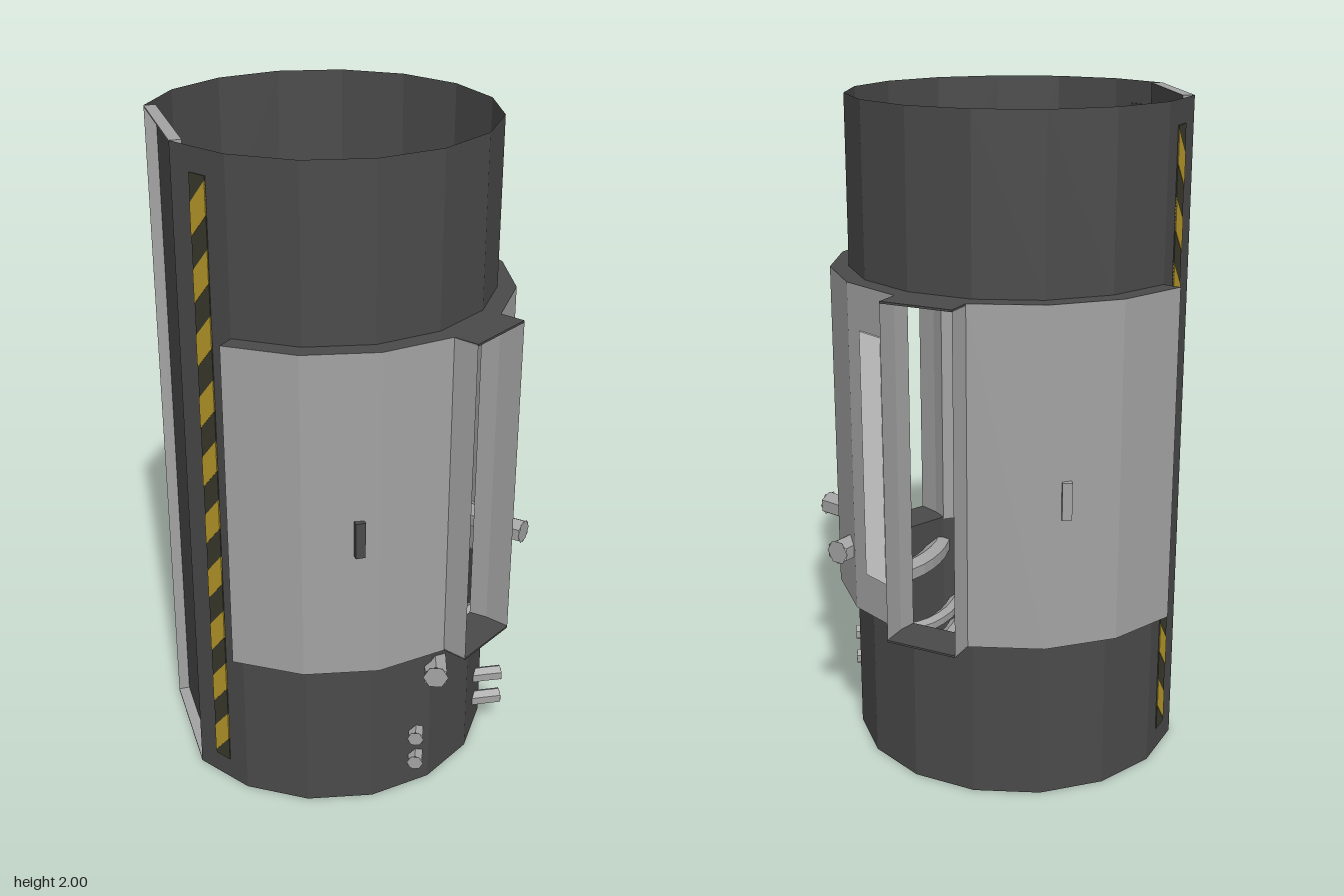
import * as THREE from 'three';

const mat = (name, color) => {
  const m = new THREE.MeshStandardMaterial({ color, side: THREE.DoubleSide, flatShading: true });
  m.name = name;
  return m;
};

const CX = -0.07;            // axis of the shaft
const R_IN = 0.505, R_OUT = 0.56, STEP = 22.5;
const at = (r, deg) => {
  const a = THREE.MathUtils.degToRad(deg);
  return [CX + r * Math.cos(a), r * Math.sin(a)];
};
const arc = (r, from, to) => {
  const pts = [];
  for (let d = from; d <= to + 0.01; d += STEP) pts.push(at(r, d));
  return pts;
};

// Upright sheet following [x, z] points
function sheet(points, y0, y1) {
  const pos = [];
  for (let i = 0; i < points.length - 1; i++) {
    const [ax, az] = points[i], [bx, bz] = points[i + 1];
    pos.push(ax, y0, az, ax, y1, az, bx, y1, bz, ax, y0, az, bx, y1, bz, bx, y0, bz);
  }
  const g = new THREE.BufferGeometry();
  g.setAttribute('position', new THREE.Float32BufferAttribute(pos, 3));
  g.computeVertexNormals();
  return g;
}

// Solid prism over an [x, z] outline
function prism(points, y, height) {
  const shape = new THREE.Shape(points.map(([x, z]) => new THREE.Vector2(x, -z)));
  const g = new THREE.ExtrudeGeometry(shape, { depth: height, bevelEnabled: false });
  return g.rotateX(-Math.PI / 2).translate(0, y, 0);
}

export function createModel() {
  const group = new THREE.Group();
  const dark = mat('dark metal', 0x4a4a4a);
  const gray = mat('gray metal', 0xa3a3a3);
  const white = mat('light panel', 0xf2f2f2);
  const yellow = mat('warning yellow', 0xb89a28);
  const black = mat('warning black', 0x3a3a2e);

  const add = (name, geometry, material, parent = group) => {
    const m = new THREE.Mesh(geometry, material);
    m.name = name;
    parent.add(m);
    return m;
  };

  // Shaft walls below and above the door level
  add('lowerShaft', sheet(arc(R_IN, -157.5, 157.5), 0, 0.5), dark);
  add('upperShaft', sheet(arc(R_IN, -157.5, 157.5), 1.5, 2), dark);

  // Recessed flat end panel with a pale surround
  const [px, pz] = at(R_IN, 157.5);
  const ix = px + 0.034;
  add('endPanel', sheet([[ix, -pz], [ix, pz]], 0, 2), dark);
  for (const s of [-1, 1]) add('endPanelJamb', sheet([[px, s * pz], [ix, s * pz]], 0, 2), gray);
  for (const y of [0, 1.995])
    add('endPanelEdge', prism([[px, -pz], [ix, -pz], [ix, pz], [px, pz]], y, 0.005), gray);

  // Thick collar section: gray faces, dark top and bottom
  const collar = (name, from, to) =>
    add(name, prism([...arc(R_OUT, from, to), ...arc(R_IN, from, to).reverse()], 0.5, 1), [dark, gray]);
  collar('sideCollar', -45, 45);

  for (const s of [1, -1]) {
    collar('door', s > 0 ? 67.5 : -135, s > 0 ? 135 : -67.5);
    add('cornerWall', sheet(arc(R_IN, s > 0 ? 135 : -157.5, s > 0 ? 157.5 : -135), 0.5, 1.5), dark);

    // Open doorway frame projecting from the collar
    const a = at(R_IN, s * 45), b = at(R_IN, s * 67.5);
    const oa = at(R_OUT, s * 45), ob = at(R_OUT, s * 67.5);
    const n = THREE.MathUtils.degToRad(s * 56.25), d = 0.077;
    const out = ([x, z]) => [x + d * Math.cos(n), z + d * Math.sin(n)];
    const outline = [a, oa, out(oa), out(ob), ob, b];
    add('doorwayTop', prism(outline, 1.494, 0.006), dark);
    add('doorwayFloor', prism(outline, 0.5, 0.006), dark);
    add('doorwaySide', sheet([oa, out(oa)], 0.5, 1.5), gray);
    add('doorwaySide', sheet([ob, out(ob)], 0.5, 1.5), gray);

    // Door handle showing on both faces
    const handle = add('doorHandle', new THREE.BoxGeometry(0.028, 0.11, 0.072), s > 0 ? dark : gray);
    handle.position.set(-0.128, 0.945, s * 0.528);

    // Light strip on the side collar
    const p = THREE.MathUtils.degToRad(s * 33.75);
    const lamp = add('lightStrip', new THREE.BoxGeometry(0.097, 0.74, 0.008), white);
    const [lx, lz] = at(R_OUT * Math.cos(Math.PI / 16) + 0.002, s * 33.75);
    lamp.position.set(lx, 1, lz);
    lamp.rotation.y = Math.PI / 2 - p;

    // Diagonal warning strip, visible inside and outside
    const strip = new THREE.Group();
    strip.name = 'warningStrip';
    const [wx, wz] = at(R_IN * Math.cos(Math.PI / 16), s * 146.25);
    strip.position.set(wx, 0, wz);
    strip.rotation.y = Math.PI / 2 - THREE.MathUtils.degToRad(s * 146.25);
    group.add(strip);
    add('stripBacking', new THREE.BoxGeometry(0.057, 1.86, 0.006), black, strip).position.y = 1;
    const w = 0.0285, pitch = 0.186, rise = 0.07 * s;
    for (let i = 0; i < 10; i++) {
      const y = 0.07 + i * pitch + pitch / 2;
      const h = 0.047;
      const bar = new THREE.Shape([
        [-w, y - h - rise / 2], [w, y - h + rise / 2], [w, y + h + rise / 2], [-w, y + h - rise / 2],
      ].map(([u, v]) => new THREE.Vector2(u, v)));
      const g = new THREE.ExtrudeGeometry(bar, { depth: 0.009, bevelEnabled: false });
      add('stripBar', g.translate(0, 0, -0.0045), yellow, strip);
    }
  }

  // Six-sided pipes bending through the shaft wall, with closed ends
  const pipe = (name, y, r, pts) => {
    const curve = new THREE.CatmullRomCurve3(pts.map(([x, z]) => new THREE.Vector3(x, y, z)));
    const pipeGroup = new THREE.Group();
    pipeGroup.name = name;
    group.add(pipeGroup);
    add('pipeBody', new THREE.TubeGeometry(curve, 10, r, 6), gray, pipeGroup);
    for (const t of [0, 1]) {
      const cap = add('pipeEnd', new THREE.CircleGeometry(r, 6), gray, pipeGroup);
      const dir = curve.getTangent(t).multiplyScalar(t ? 1 : -1);
      cap.position.copy(curve.getPoint(t));
      cap.lookAt(cap.position.clone().add(dir));
    }
  };
  pipe('upperPipe', 0.675, 0.038,
    [[0.515, 0.215], [0.43, 0.12], [0.385, 0], [0.43, -0.12], [0.5, -0.2]]);
  pipe('middlePipe', 0.4, 0.038,
    [[0.125, 0.51], [0.17, 0.38], [0.25, 0.27], [0.34, 0.22], [0.455, 0.2]]);
  for (const y of [0.185, 0.095])
    pipe('lowerPipe', y, 0.025,
      [[0.065, 0.51], [0.13, 0.36], [0.22, 0.27], [0.32, 0.25], [0.44, 0.26]]);

  return group;
}
